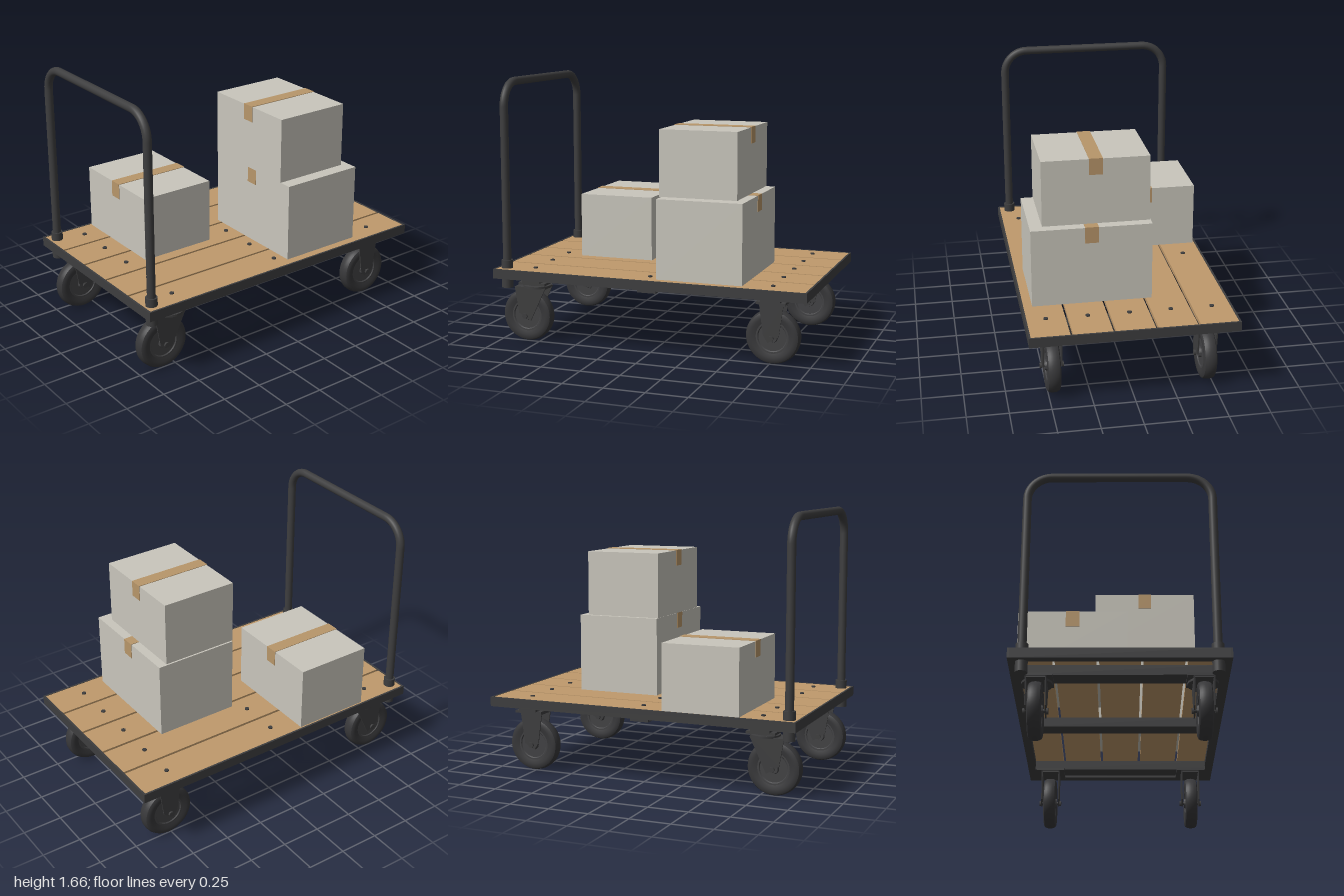
import * as THREE from 'three';
import { toCreasedNormals } from 'three/addons/utils/BufferGeometryUtils.js';

const material = (name, color, side = THREE.FrontSide) => {
  const m = new THREE.MeshStandardMaterial({ color, side });
  m.name = name;
  return m;
};

export function createModel() {
  const model = new THREE.Group();
  model.name = 'platformCart';

  const steel = material('dark steel', 0x3e3e3f);
  const rubber = material('black rubber', 0x38383a);
  const hubGrey = material('hub grey', 0x424244);
  const wood = material('deck wood', 0xc09a6c);
  const card = material('grey cardboard', 0xc9c6bc);
  const tapeTan = material('packing tape', 0xb8966a);

  const add = (parent, name, geometry, mat, x = 0, y = 0, z = 0) => {
    const mesh = new THREE.Mesh(geometry, mat);
    mesh.name = name;
    mesh.position.set(x, y, z);
    parent.add(mesh);
    return mesh;
  };
  // Box given by its lower and upper limits
  const block = (parent, name, mat, x0, x1, y0, y1, z0, z1) =>
    add(parent, name, new THREE.BoxGeometry(x1 - x0, y1 - y0, z1 - z0), mat,
      (x0 + x1) / 2, (y0 + y1) / 2, (z0 + z1) / 2);

  // Deck frame: angle rails with a thin lip around the planks
  const W = 0.625, L = 1, lip = 0.012, rail = 0.055;
  const deck = new THREE.Group();
  deck.name = 'deck';
  model.add(deck);
  for (const s of [-1, 1]) {
    const side = add(deck, 'sideLip', new THREE.BoxGeometry(lip, 0.06, 2 * L), steel);
    side.position.set(s * (W - lip / 2), 0.445, 0);
    const end = add(deck, 'endLip', new THREE.BoxGeometry(2 * (W - lip), 0.06, lip), steel);
    end.position.set(0, 0.445, s * (L - lip / 2));
    add(deck, 'sideRail', new THREE.BoxGeometry(rail - lip, 0.033, 2 * (L - lip)), steel,
      s * (W - (rail + lip) / 2), 0.4315, 0);
    add(deck, 'endRail', new THREE.BoxGeometry(2 * (W - rail), 0.033, rail - lip), steel,
      0, 0.4315, s * (L - (rail + lip) / 2));
  }

  // Planks, cross members and bolts
  const boltGeo = new THREE.CylinderGeometry(0.014, 0.014, 0.012, 12);
  for (let i = -2; i <= 2; i++) {
    const x0 = i === -2 ? -W + lip : i * 0.25 - 0.117;
    const x1 = i === 2 ? W - lip : i * 0.25 + 0.117;
    block(deck, 'plank', wood, x0, x1, 0.448, 0.473, -L + lip, L - lip);
    for (const z of [-0.768, 0, 0.765]) add(deck, 'bolt', boltGeo, steel, i * 0.25, 0.474, z);
  }
  for (const z of [-0.768, 0, 0.768]) {
    block(deck, 'crossMember', steel, -0.572, 0.572, 0.388, 0.448, z - 0.06, z + 0.06);
  }

  // Push handle: bent tube
  const hx = 0.548, hz = 0.938, top = 1.63, r = 0.15;
  const path = new THREE.CurvePath();
  const v = (x, y) => new THREE.Vector3(x, y, 0);
  const k = r * 0.448;
  path.add(new THREE.LineCurve3(v(-hx, 0.37), v(-hx, top - r)));
  path.add(new THREE.CubicBezierCurve3(v(-hx, top - r), v(-hx, top - k), v(-hx + k, top), v(-hx + r, top)));
  path.add(new THREE.LineCurve3(v(-hx + r, top), v(hx - r, top)));
  path.add(new THREE.CubicBezierCurve3(v(hx - r, top), v(hx - k, top), v(hx, top - k), v(hx, top - r)));
  path.add(new THREE.LineCurve3(v(hx, top - r), v(hx, 0.37)));
  add(model, 'pushHandle', new THREE.TubeGeometry(path, 160, 0.026, 16), steel, 0, 0, hz);
  for (const s of [-1, 1]) {
    add(model, 'handleSocket', new THREE.CylinderGeometry(0.036, 0.036, 0.175, 20), steel, s * hx, 0.4375, hz);
  }

  // Wheel profiles, turned about the axle
  const lathe = (points) => toCreasedNormals(
    new THREE.LatheGeometry(points.map(([a, b]) => new THREE.Vector2(a, b)), 48), 0.6);
  const tyreGeo = lathe([[0.1, -0.034], [0.125, -0.04], [0.145, -0.04], [0.157, -0.034], [0.164, -0.02],
    [0.166, 0], [0.164, 0.02], [0.157, 0.034], [0.145, 0.04], [0.125, 0.04], [0.1, 0.034]]);
  const hubGeo = lathe([[0, -0.044], [0.03, -0.044], [0.034, -0.028], [0.085, -0.028], [0.09, -0.034], [0.104, -0.034],
    [0.104, 0.034], [0.09, 0.034], [0.085, 0.028], [0.034, 0.028], [0.03, 0.044], [0, 0.044]]);

  // Fork side outlines as [z, y] points
  const frontFork = [[0.69, 0.352], [0.793, 0.137], [0.872, 0.185], [0.9, 0.352]];
  const rearFork = [[-0.84, 0.378], [-0.812, 0.175], [-0.745, 0.137], [-0.717, 0.182], [-0.69, 0.378]];

  function addCaster(name, x, wheelZ, outline, swivel) {
    const caster = new THREE.Group();
    caster.name = name;
    caster.position.x = x;
    model.add(caster);

    for (const [part, geo, mat] of [['tyre', tyreGeo, rubber], ['hub', hubGeo, hubGrey]]) {
      add(caster, part, geo, mat, 0, 0.166, wheelZ).rotation.z = Math.PI / 2;
    }
    add(caster, 'axle', new THREE.CylinderGeometry(0.011, 0.011, 0.142, 12), steel,
      0, 0.166, wheelZ).rotation.z = Math.PI / 2;

    const shape = new THREE.Shape(outline.map(([z, y]) => new THREE.Vector2(z, y)));
    const forkGeo = new THREE.ExtrudeGeometry(shape, { depth: 0.008, bevelEnabled: false });
    forkGeo.translate(0, 0, -0.004).rotateY(-Math.PI / 2);
    for (const s of [-1, 1]) {
      add(caster, 'forkPlate', forkGeo, steel, s * 0.056, 0, 0);
      add(caster, 'axleNut', new THREE.CylinderGeometry(0.018, 0.018, 0.012, 6), steel,
        s * 0.066, 0.166, wheelZ).rotation.z = Math.PI / 2;
    }
    const z = Math.sign(wheelZ) * 0.768;
    if (swivel) {
      block(caster, 'mountPlate', steel, -0.092, 0.092, 0.374, 0.389, z - 0.09, z + 0.09);
      add(caster, 'swivelRace', new THREE.CylinderGeometry(0.06, 0.06, 0.014, 28), steel, 0, 0.368, z);
      add(caster, 'swivelPlate', new THREE.CylinderGeometry(0.09, 0.09, 0.014, 32), steel, 0, 0.356, z);
      block(caster, 'forkCrown', steel, -0.06, 0.06, 0.343, 0.352, 0.692, 0.898);
    } else {
      block(caster, 'mountPlate', steel, -0.092, 0.092, 0.374, 0.389, z - 0.09, z + 0.09);
      block(caster, 'forkCrown', steel, -0.06, 0.06, 0.364, 0.376, -0.838, -0.692);
    }
  }
  for (const s of [-1, 1]) {
    addCaster('frontCaster', s * 0.47, 0.83, frontFork, true);
    addCaster('rearCaster', s * 0.47, -0.766, rearFork, false);
  }

  // Cartons with a strip of tape folded over the front and back edges
  function addCarton(name, x0, x1, y0, y1, z0, z1) {
    const carton = new THREE.Group();
    carton.name = name;
    model.add(carton);
    block(carton, 'carton', card, x0, x1, y0, y1, z0, z1);
    const c = (x0 + x1) / 2, h = 0.041, t = 0.003;
    block(carton, 'tapeTop', tapeTan, c - h, c + h, y1, y1 + t, z0 - t, z1 + t);
    block(carton, 'tapeFront', tapeTan, c - h, c + h, y1 - 0.098, y1, z1, z1 + t);
    block(carton, 'tapeBack', tapeTan, c - h, c + h, y1 - 0.098, y1, z0 - t, z0);
  }
  addCarton('frontCarton', -0.603, 0.043, 0.473, 0.881, 0.162, 0.65);
  addCarton('lowerCarton', -0.17, 0.56, 0.473, 0.961, -0.595, -0.06);
  addCarton('upperCarton', -0.163, 0.485, 0.964, 1.37, -0.54, -0.053);

  return model;
}
